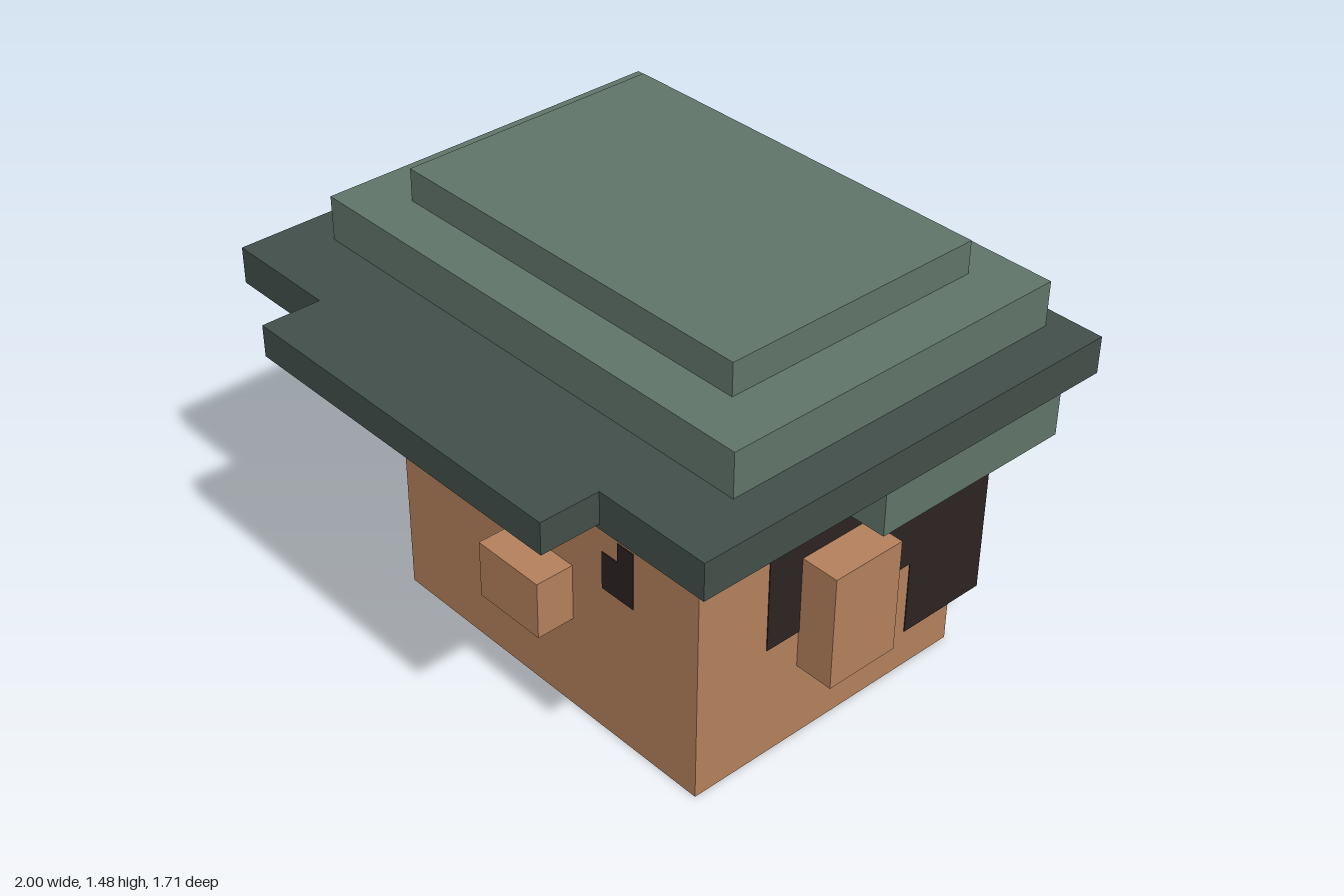
import * as THREE from 'three';

const material = (name, color) => {
  const m = new THREE.MeshStandardMaterial({ color });
  m.name = name;
  return m;
};

export function createModel() {
  const model = new THREE.Group();
  model.name = 'hattedHead';
  const skin = material('skin', 0xb4815d);
  const hair = material('darkHair', 0x2d2222);
  const hatLight = material('lightGreenFelt', 0x60756a);
  const hatDark = material('darkGreenFelt', 0x424f4a);

  // Box given by its extents on each axis
  const box = (name, mat, [x0, x1], [y0, y1], [z0, z1], parent = model) => {
    const mesh = new THREE.Mesh(new THREE.BoxGeometry(x1 - x0, y1 - y0, z1 - z0), mat);
    mesh.position.set((x0 + x1) / 2, (y0 + y1) / 2, (z0 + z1) / 2);
    mesh.name = name;
    parent.add(mesh);
    return mesh;
  };

  // Head and nose
  box('head', skin, [-0.668, 0.668], [0, 1.073], [-0.712, 0.358]);
  box('nose', skin, [-0.133, 0.133], [0.338, 0.538], [0.358, 0.492]);

  // Eyes: each has a raised corner on the same (+x) side
  for (const [name, x] of [['rightEye', -0.402], ['leftEye', 0.267]]) {
    const eye = new THREE.Group();
    eye.name = name;
    box('eyeBase', hair, [x, x + 0.134], [0.538, 0.67], [0.355, 0.361], eye);
    box('eyeCorner', hair, [x + 0.067, x + 0.134], [0.67, 0.738], [0.355, 0.361], eye);
    model.add(eye);
  }

  // Hair: block at the back, stepped thin plates on the sides
  box('backHair', hair, [-0.67, 0.67], [0.136, 1.073], [-0.846, -0.712]);
  const outline = [
    [0.222, 1.073], [0.222, 0.938], [0.088, 0.938], [0.088, 0.402],
    [-0.512, 0.402], [-0.512, 0.136], [-0.712, 0.136], [-0.712, 1.073],
  ].map(([z, y]) => new THREE.Vector2(-z, y));
  const plate = new THREE.ExtrudeGeometry(new THREE.Shape(outline), { depth: 0.006, bevelEnabled: false });
  plate.rotateY(Math.PI / 2); // profile now lies in the side plane, thickness along x

  for (const [side, s] of [['left', 1], ['right', -1]]) {
    const span = (a, b) => (s > 0 ? [a, b] : [-b, -a]);
    const sideHair = new THREE.Mesh(plate, hair);
    sideHair.name = side + 'SideHair';
    sideHair.position.x = s > 0 ? 0.665 : -0.671;
    model.add(sideHair);
    box(side + 'Ear', skin, span(0.66, 0.804), [0.27, 0.672], [-0.309, -0.042]);
    box(side + 'HatFlap', hatLight, span(0.715, 0.965), [0.924, 1.103], [-0.748, -0.037]);
  }

  // Hat: inner band, brim with visor, and two stacked crown layers
  box('hatBand', hatDark, [-0.738, 0.738], [1.073, 1.103], [-0.78, 0.426]);
  const t = 1.224;
  const brim = new THREE.Shape([
    [-1, 0.858], [-1, -0.66], [1, -0.66], [1, 0.858],
  ].map((p) => new THREE.Vector2(...p)));
  const brimGeometry = new THREE.ExtrudeGeometry(brim, { depth: t - 1.103, bevelEnabled: false });
  brimGeometry.rotateX(-Math.PI / 2);
  const brimMesh = new THREE.Mesh(brimGeometry, hatDark);
  brimMesh.position.y = 1.103;
  brimMesh.name = 'hatBrim';
  model.add(brimMesh);
  box('hatVisor', hatDark, [-0.608, 0.608], [1.12, t], [0.66, 0.856]);
  box('lowerCrown', hatLight, [-0.858, 0.858], [t, 1.37], [-0.785, 0.428]);
  box('upperCrown', hatLight, [-0.678, 0.678], [1.37, 1.477], [-0.645, 0.265]);

  // Dark strip behind the upper crown
  box('crownStrip', hair, [-0.535, 0.535], [1.37, 1.408], [-0.716, -0.645]);

  return model;
}
